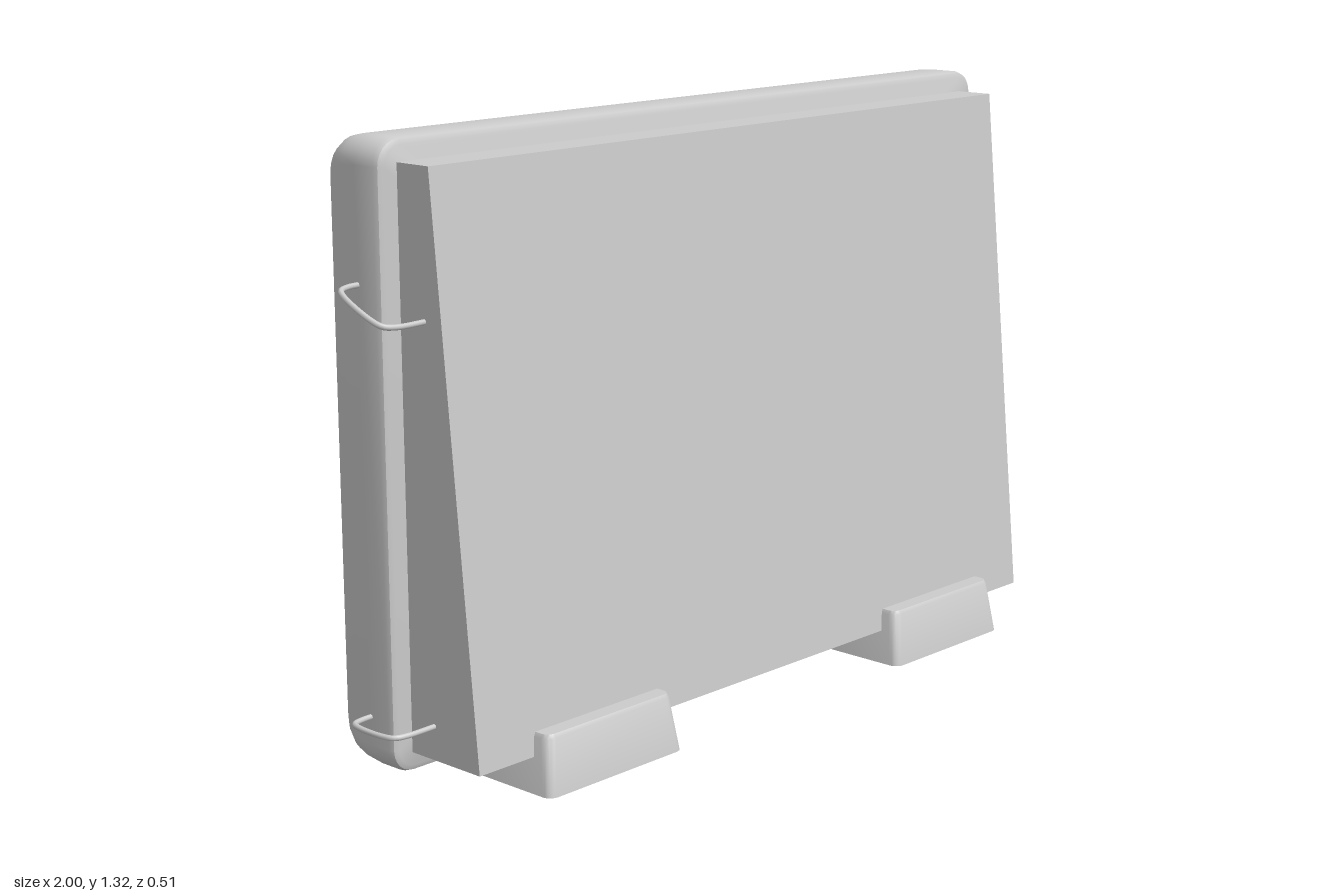
import * as THREE from 'three';
import { toCreasedNormals } from 'three/addons/utils/BufferGeometryUtils.js';

const grey = new THREE.MeshStandardMaterial({ color: 0xcccccc });
grey.name = 'light grey';

// Counter-clockwise rounded rectangle outline, half sizes w and h, corner radius r
function outline(w, h, r, steps = 6) {
  const pts = [];
  for (let c = 0; c < 4; c++) {
    const sx = c === 0 || c === 3 ? 1 : -1;
    const sy = c < 2 ? 1 : -1;
    for (let i = 0; i <= steps; i++) {
      const a = (c + i / steps) * Math.PI / 2;
      pts.push([sx * (w - r) + r * Math.cos(a), sy * (h - r) + r * Math.sin(a)]);
    }
  }
  return pts;
}

// Skin through rounded rectangles [w, h, r, z], with flat caps at the ends
function loft(rings, capStart = true, crease = 0.6) {
  const pos = [], idx = [];
  const n = outline(1, 1, 0.1).length;
  for (const [w, h, r, z] of rings) {
    for (const [x, y] of outline(w, h, r)) pos.push(x, y, z);
  }
  for (let k = 0; k < rings.length - 1; k++) {
    for (let i = 0; i < n; i++) {
      const a = k * n + i, b = k * n + (i + 1) % n;
      idx.push(a, b, b + n, a, b + n, a + n);
    }
  }
  const last = (rings.length - 1) * n;
  const c = pos.length / 3;
  pos.push(0, 0, rings[0][3], 0, 0, rings[rings.length - 1][3]);
  for (let i = 0; i < n; i++) {
    const j = (i + 1) % n;
    if (capStart) idx.push(c, j, i);
    idx.push(c + 1, last + i, last + j);
  }
  const g = new THREE.BufferGeometry();
  g.setAttribute('position', new THREE.Float32BufferAttribute(pos, 3));
  g.setIndex(idx);
  return toCreasedNormals(g, crease);
}

export function createModel() {
  const model = new THREE.Group();
  model.name = 'displayUnit';
  const add = (name, geometry, x = 0, y = 0, z = 0) => {
    const mesh = new THREE.Mesh(geometry, grey);
    mesh.name = name;
    mesh.position.set(x, y, z);
    model.add(mesh);
    return mesh;
  };

  // Rounded frame: from the opening, over the crest, round to the front face
  const W = 0.936, H = 0.643, midY = 0.675;
  add('frame', loft([
    [0.705, 0.455, 0.002, -0.155],
    [0.712, 0.462, 0.004, -0.172],
    [0.73, 0.478, 0.008, -0.188],
    [0.765, 0.505, 0.012, -0.202],
    [0.81, 0.535, 0.02, -0.209],
    [0.85, 0.56, 0.03, -0.21],
    [0.872, 0.582, 0.04, -0.205],
    [0.898, 0.608, 0.05, -0.188],
    [0.915, 0.624, 0.055, -0.165],
    [0.926, 0.635, 0.055, -0.14],
    [0.932, 0.641, 0.055, -0.11],
    [W, H, 0.055, -0.07],
    [W, H, 0.055, -0.016],
    [W - 0.004, H - 0.004, 0.051, -0.005],
    [W - 0.015, H - 0.015, 0.04, 0],
  ], false), 0, midY, 0);

  // Recessed screen, facing the back
  add('screen', new THREE.PlaneGeometry(1.42, 0.92), 0, midY, -0.157).rotation.y = Math.PI;

  // Wedge housing: side profile extruded across the width
  const profile = new THREE.Shape([[0.02, 0.075], [-0.2, 0.075], [-0.09, 1.27], [0.02, 1.27]]
    .map(([u, v]) => new THREE.Vector2(u, v)));
  const wedge = new THREE.ExtrudeGeometry(profile, { depth: 1.776, bevelEnabled: false });
  wedge.rotateY(Math.PI / 2);
  add('wedgeHousing', wedge, -0.888, 0, 0);

  // Tapered feet
  for (const side of [-1, 1]) {
    const foot = loft([
      [0.195, 0.255, 0.022, 0],
      [0.181, 0.237, 0.022, 0.117],
      [0.177, 0.232, 0.018, 0.125],
    ]);
    foot.rotateX(-Math.PI / 2);
    add(side > 0 ? 'leftFoot' : 'rightFoot', foot, side * 0.555, 0, 0);
  }

  // Side button on its raised base
  const base = loft([
    [0.05, 0.118, 0.042, 0.91],
    [0.05, 0.118, 0.042, 0.945],
    [0.044, 0.11, 0.038, 0.955],
  ]);
  base.rotateY(Math.PI / 2);
  add('buttonBase', base, 0, 0.233, -0.09);
  const button = loft([[0.042, 0.1, 0.036, 0.94], [0.042, 0.1, 0.036, 1]]);
  button.rotateY(Math.PI / 2);
  add('sideButton', button, 0, 0.233, -0.093);

  // Wire loops on the other side; the upper one is tilted
  const wire = [[-0.9, -0.068], [-0.96, -0.068], [-0.985, -0.06], [-0.994, -0.035],
    [-0.994, 0.035], [-0.985, 0.06], [-0.96, 0.068], [-0.87, 0.068]];
  for (const [name, y, tilt] of [['upperWireLoop', 0.998, 0.45], ['lowerWireLoop', 0.146, 0]]) {
    const path = new THREE.CatmullRomCurve3(
      wire.map(([x, z]) => new THREE.Vector3(x, y - tilt * z, z)), false, 'centripetal');
    add(name, new THREE.TubeGeometry(path, 48, 0.006, 8));
  }
  return model;
}
